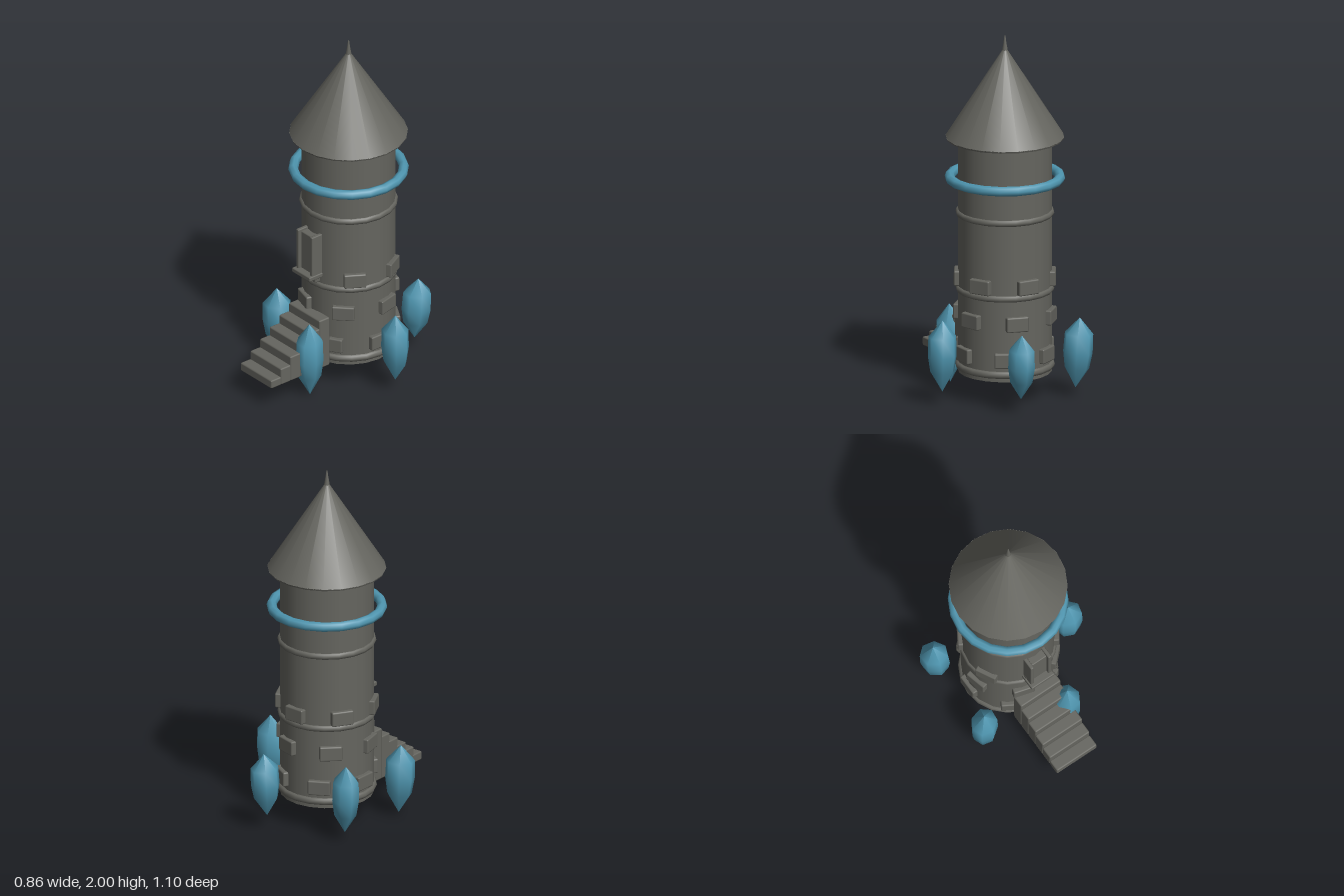
import * as THREE from 'three';
import { RoundedBoxGeometry } from 'three/addons/geometries/RoundedBoxGeometry.js';

const stone = new THREE.MeshStandardMaterial({ color: 0x65655f });
stone.name = 'grey stone';
const crystalBlue = new THREE.MeshStandardMaterial({ color: 0x4f96b0 });
crystalBlue.name = 'crystal blue';

const CX = -0.03, CZ = -0.095, RADIUS = 0.252;
const deg = THREE.MathUtils.degToRad;

function add(parent, name, geometry, material, x = 0, y = 0, z = 0) {
  const mesh = new THREE.Mesh(geometry, material);
  mesh.name = name;
  mesh.position.set(x, y, z);
  parent.add(mesh);
  return mesh;
}

// Rounded box given by its extents
function block(parent, name, x0, x1, y0, y1, z0, z1, bevel = 0.006) {
  const geometry = new RoundedBoxGeometry(x1 - x0, y1 - y0, z1 - z0, 1, bevel);
  return add(parent, name, geometry, stone, (x0 + x1) / 2, (y0 + y1) / 2, (z0 + z1) / 2);
}

function ring(parent, name, radius, tube, y, material) {
  const mesh = add(parent, name, new THREE.TorusGeometry(radius, tube, 8, 20), material, 0, y, 0);
  mesh.rotation.x = Math.PI / 2;
  return mesh;
}

function createTower() {
  const tower = new THREE.Group();
  tower.name = 'tower';
  tower.position.set(CX, 0, CZ);

  add(tower, 'towerWall', new THREE.CylinderGeometry(RADIUS, RADIUS, 1.3, 20), stone, 0, 0.79, 0);
  ring(tower, 'baseRing', 0.246, 0.022, 0.178, stone);
  ring(tower, 'lowerRing', 0.245, 0.02, 0.6, stone);
  ring(tower, 'upperRing', 0.245, 0.02, 1.02, stone);
  ring(tower, 'floatingRing', 0.296, 0.027, 1.212, crystalBlue);

  // Conical roof with a short vertical rim
  add(tower, 'roof', new THREE.CylinderGeometry(0.012, 0.318, 0.482, 20), stone, 0, 1.678, 0);
  add(tower, 'roofRim', new THREE.CylinderGeometry(0.318, 0.314, 0.01, 20), stone, 0, 1.433, 0);

  // Slender spike
  const spike = [[0.018, 1.895], [0.014, 1.925], [0.007, 1.965], [0.004, 1.99], [0, 2]];
  add(tower, 'spike', new THREE.LatheGeometry(spike.map(p => new THREE.Vector2(...p)), 8), stone);

  // Protruding stones, six per row
  const brick = new RoundedBoxGeometry(0.045, 0.082, 0.122, 1, 0.008);
  for (const [y, start] of [[0.26, 0], [0.46, 46], [0.66, 32]]) {
    for (let i = 0; i < 6; i++) {
      const a = deg(start + i * 60);
      const mesh = add(tower, 'wallStone', brick, stone, 0.25 * Math.cos(a), y, 0.25 * Math.sin(a));
      mesh.rotation.y = -a;
    }
  }
  return tower;
}

function createWindow() {
  const group = new THREE.Group();
  group.name = 'window';
  block(group, 'windowPanel', -0.085, 0.022, 0.67, 0.905, 0.12, 0.195);
  for (const side of [-1, 1]) {
    const x = CX + side * 0.057;
    block(group, 'windowPost', x - 0.011, x + 0.011, 0.67, 0.918, 0.13, 0.215);
  }
  block(group, 'windowSill', -0.107, 0.043, 0.656, 0.682, 0.13, 0.236);
  return group;
}

function createStairs() {
  const stairs = new THREE.Group();
  stairs.name = 'stairs';
  for (let i = 0; i < 6; i++) {
    const front = 0.548 - i * 0.067;
    block(stairs, 'step', -0.161, 0.099, 0.138, 0.187 + i * 0.049, front - 0.071, front, 0.008);
  }
  return stairs;
}

// Long crystal with pointed ends
function crystalGeometry(height) {
  const profile = [[0, 0], [0.066, 0.28], [0.079, 0.5], [0.076, 0.77], [0, 1]];
  const points = profile.map(([r, t]) => new THREE.Vector2(r, (t - 0.5) * height));
  return new THREE.LatheGeometry(points, 7);
}

function createCrystals() {
  const group = new THREE.Group();
  group.name = 'crystals';
  // bottom and top heights, outward lean
  const spans = [[0.075, 0.47, 0], [0, 0.435, 0.02], [0.02, 0.41, 0.03], [0.05, 0.44, 0.06], [0.08, 0.44, 0.06]];
  spans.forEach(([bottom, top, lean], i) => {
    const a = deg(i * 72);
    const mesh = add(group, 'crystal', crystalGeometry(top - bottom), crystalBlue,
      CX + 0.39 * Math.cos(a), (bottom + top) / 2, CZ + 0.39 * Math.sin(a));
    mesh.rotation.set(0, -a, -lean);
    mesh.scale.set(1.03, 1, 0.92);
  });
  return group;
}

export function createModel() {
  const model = new THREE.Group();
  model.name = 'crystalTower';
  model.add(createTower(), createWindow(), createStairs(), createCrystals());
  return model;
}
